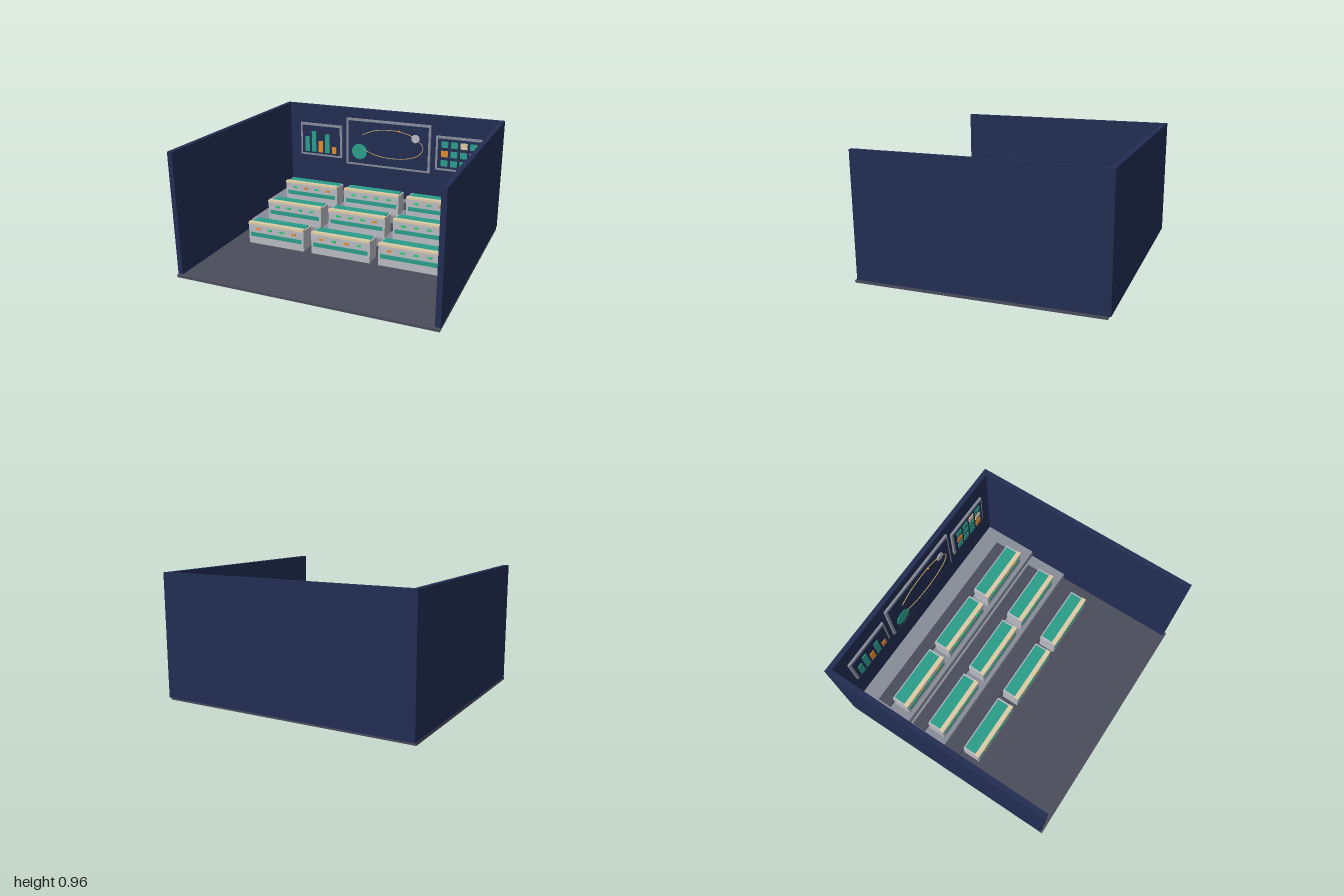
import * as THREE from 'three';

const mat = (name, color) => {
  const m = new THREE.MeshStandardMaterial({ color });
  m.name = name;
  return m;
};

export function createModel() {
  const navy = mat('navy', 0x222d52);
  const slate = mat('slate', 0x4a4c5b);
  const grey = mat('grey', 0x868c98);
  const silver = mat('silver', 0xb8bac0);
  const teal = mat('teal', 0x2a9d8a);
  const orange = mat('orange', 0xe08a2a);
  const cream = mat('cream', 0xdccba6);
  const green = mat('green', 0x2ecc71);
  const gold = mat('gold', 0xc0a468);

  const model = new THREE.Group();
  model.name = 'controlRoom';

  const add = (parent, name, geometry, material, x = 0, y = 0, z = 0) => {
    const mesh = new THREE.Mesh(geometry, material);
    mesh.name = name;
    mesh.position.set(x, y, z);
    parent.add(mesh);
    return mesh;
  };
  // Box given by its lower and upper limits on each axis
  const box = (parent, name, m, x0, x1, y0, y1, z0, z1) =>
    add(parent, name, new THREE.BoxGeometry(x1 - x0, y1 - y0, z1 - z0), m,
      (x0 + x1) / 2, (y0 + y1) / 2, (z0 + z1) / 2);
  const group = (name, x = 0, y = 0, z = 0) => {
    const g = new THREE.Group();
    g.name = name;
    g.position.set(x, y, z);
    model.add(g);
    return g;
  };

  // Room shell
  box(model, 'floor', slate, -1, 1, 0, 0.02, -0.905, 0.922);
  box(model, 'backWall', navy, -1, 1, 0.022, 0.96, -0.925, -0.886);
  box(model, 'rightWall', navy, -1, -0.962, 0.022, 0.96, -0.886, 0.905);
  box(model, 'leftWall', navy, 0.962, 1, 0.022, 0.96, -0.886, 0.905);

  // Stepped tiers
  box(model, 'lowerTier', grey, -0.962, 0.962, 0.02, 0.095, -0.886, -0.1);
  box(model, 'upperTier', grey, -0.962, 0.962, 0.095, 0.17, -0.886, -0.432);

  // Three rows of consoles, each with a low bench behind; O and G are lamp colours
  const lamps = [
    ['OGGO', 'OGOG', 'OGGG'],
    ['GGGG', 'GGGO', 'GGGG'],
    ['GOGO', 'GGGG', 'GGOO'],
  ];
  lamps.forEach((row, r) => {
    const y = 0.021 + r * 0.0745, z = 0.132 - r * 0.331;
    box(model, 'bench', slate, -0.855, 0.855, y, y + 0.025, z - 0.208, z - 0.096);
    row.forEach((code, c) => {
      const g = group('console', (c - 1) * 0.562, y, z);
      box(g, 'consoleBody', silver, -0.247, 0.247, 0, 0.17, -0.072, 0.067);
      box(g, 'consoleTop', teal, -0.233, 0.233, 0.17, 0.176, -0.062, 0.04);
      box(g, 'consoleRail', cream, -0.247, 0.247, 0.165, 0.184, 0.036, 0.073);
      box(g, 'consoleStripe', teal, -0.229, 0.229, 0.063, 0.097, 0.067, 0.071);
      [...code].forEach((k, i) => {
        const x = (i - 1.5) * 0.105;
        box(g, 'lamp', k === 'O' ? orange : green,
          x - 0.018, x + 0.018, 0.123, 0.14, 0.067, 0.073);
      });
    });
  });

  // Wall displays: grey frame with a raised navy screen
  const display = (name, x0, x1, y0, y1) => {
    const g = group(name);
    box(g, 'frame', grey, x0, x1, y0, y1, -0.886, -0.868);
    box(g, 'screen', navy, x0 + 0.02, x1 - 0.02, y0 + 0.02, y1 - 0.02, -0.868, -0.862);
    return g;
  };

  // Bar chart
  const chart = display('chartDisplay', -0.855, -0.443, 0.488, 0.79);
  [[0.665, teal], [0.72, teal], [0.632, orange], [0.7, teal], [0.588, orange]].forEach(([top, m], i) => {
    const x = -0.784 + i * 0.067;
    box(chart, 'bar', m, x - 0.022, x + 0.022, 0.525, top, -0.862, -0.855);
  });

  // Status tiles
  const status = display('statusDisplay', 0.438, 0.85, 0.488, 0.79);
  const tiles = { T: teal, O: orange, C: cream };
  ['TTCT', 'OTTC', 'TTTO'].forEach((row, r) => [...row].forEach((k, c) => {
    const x = 0.52 + c * 0.083, y = 0.722 - r * 0.083;
    box(status, 'tile', tiles[k], x - 0.03, x + 0.03, y - 0.027, y + 0.027, -0.862, -0.855);
  }));

  // Orbit map
  const orbit = display('orbitDisplay', -0.395, 0.39, 0.445, 0.873);
  const path = new THREE.CatmullRomCurve3([
    [-0.235, 0.735], [-0.12, 0.782], [0.02, 0.798], [0.15, 0.787], [0.262, 0.742], [0.328, 0.67],
    [0.295, 0.602], [0.2, 0.56], [0.03, 0.542], [-0.12, 0.56], [-0.225, 0.6],
  ].map(([x, y]) => new THREE.Vector3(x, y, -0.858)));
  add(orbit, 'trajectory', new THREE.TubeGeometry(path, 48, 0.004, 5), gold);
  const disc = (name, m, x, y, r, sides, depth) => {
    const geo = new THREE.CylinderGeometry(r, r, depth, sides).rotateX(Math.PI / 2);
    add(orbit, name, geo, m, x, y, -0.862 + depth / 2);
  };
  disc('planet', teal, -0.265, 0.575, 0.072, 14, 0.006);
  disc('moon', silver, 0.257, 0.745, 0.037, 14, 0.009);
  add(orbit, 'spacecraft', new THREE.OctahedronGeometry(0.013), orange, 0.105, 0.797, -0.855);

  return model;
}
